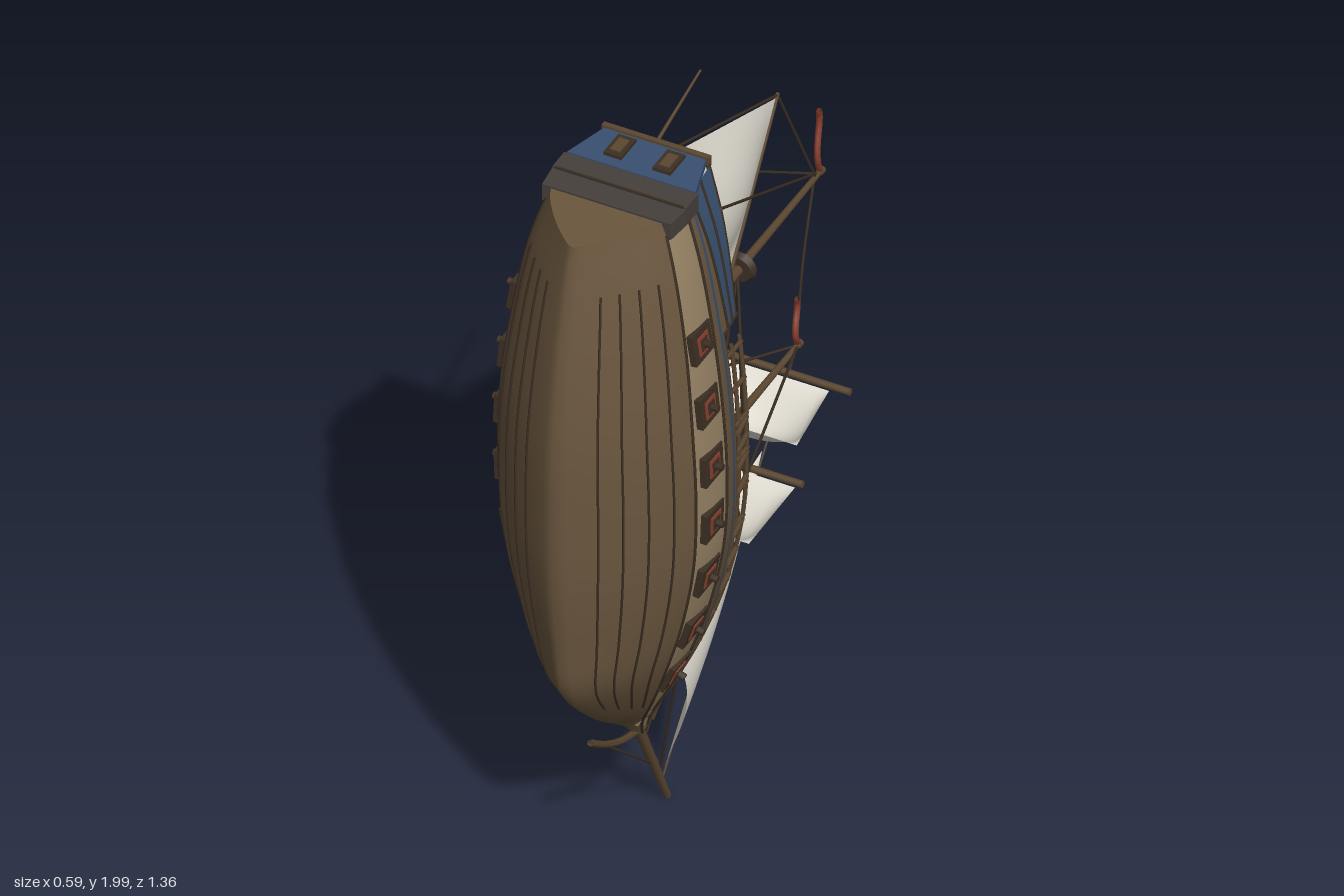
import * as THREE from 'three';

const mat = (name, color) => {
  const m = new THREE.MeshStandardMaterial({ color, side: THREE.DoubleSide });
  m.name = name;
  return m;
};
const M = {
  hull: mat('hull brown', 0x6a563e), tan: mat('plank tan', 0x968264), deck: mat('deck wood', 0x97805f),
  spar: mat('spar wood', 0x5b4731), dark: mat('dark wood', 0x3d3024), rope: mat('rope', 0x3f3226),
  blue: mat('blue paint', 0x385070), grey: mat('stern grey', 0x46403b),
  sail: mat('sailcloth', 0xe0dcd1), red: mat('red paint', 0x8c4030),
};
const V = (x, y, z) => new THREE.Vector3(x, y, z);

// hull stations, bow down: y | half width, sheer z, band z, keel z
const ys = [0.29, 0.37, 0.45, 0.55, 0.66, 0.8, 1.0, 1.2, 1.4, 1.6, 1.8, 1.93];
const stations = [
  0.008, 0.225, 0.24, 0.25, 0.035, 0.235, 0.29, 0.325, 0.078, 0.245, 0.34, 0.425, 0.128, 0.25, 0.385, 0.53,
  0.175, 0.26, 0.42, 0.62, 0.222, 0.268, 0.435, 0.65, 0.263, 0.272, 0.445, 0.675, 0.272, 0.275, 0.45, 0.68,
  0.262, 0.28, 0.45, 0.675, 0.237, 0.285, 0.435, 0.65, 0.198, 0.285, 0.42, 0.61, 0.155, 0.28, 0.4, 0.58];
const spline = new THREE.CubicInterpolant(ys, stations, 4);

// point on the hull: s 0..1 sheer to band, 1..2 band to keel
function hullPoint(y, s, side = 1, out = 0) {
  const [w, top, band, keel] = spline.evaluate(y);
  const d = Math.max(s - 1, 0), k = Math.min(s, 1);
  const x = s <= 1 ? w * (0.96 + 0.16 * k - 0.19 * k * k)
    : w * 0.93 * Math.pow(Math.max(1 - Math.pow(d, 1.3), 0), 0.85);
  const z = s <= 1 ? top + (band - top) * k : band + (keel - band) * d;
  return V(side * (x + out), y, z + (s > 1 ? out * 0.8 : 0));
}
const range = (a, b, n) => Array.from({ length: n + 1 }, (_, i) => a + (b - a) * i / n);

// surface through rows of points
function loft(rows) {
  const n = rows[0].length, idx = [];
  for (let i = 0; i < rows.length - 1; i++) for (let j = 0; j < n - 1; j++) {
    const a = i * n + j;
    idx.push(a, a + 1, a + n, a + 1, a + n + 1, a + n);
  }
  const g = new THREE.BufferGeometry().setFromPoints(rows.flat());
  g.setIndex(idx);
  g.computeVertexNormals();
  return g;
}

export function createModel() {
  const root = new THREE.Group();
  root.name = 'sailingShip';
  const add = (name, geo, m, parent = root) => {
    const mesh = new THREE.Mesh(geo, m);
    mesh.name = name;
    parent.add(mesh);
    return mesh;
  };
  const box = (name, m, size, pos, parent) =>
    add(name, new THREE.BoxGeometry(...size), m, parent).position.set(...pos);
  const rod = (name, m, a, b, r0, r1 = r0, n = 8) => {
    const c = add(name, new THREE.CylinderGeometry(r1, r0, a.distanceTo(b), n), m);
    c.position.copy(a).lerp(b, 0.5);
    c.quaternion.setFromUnitVectors(V(0, 1, 0), b.clone().sub(a).normalize());
  };
  const rope = (a, b) => rod('rigging', M.rope, a, b, 0.0036, 0.0036, 5);
  const tube = (name, m, pts, r, n = 32) =>
    add(name, new THREE.TubeGeometry(new THREE.CatmullRomCurve3(pts), n, r, 5), m);
  // solid with an x/z outline, its upper face at y
  const slab = (name, m, outline, y, depth) => {
    const s = new THREE.Shape(outline.map(p => new THREE.Vector2(...p)));
    const g = new THREE.ExtrudeGeometry(s, { depth, bevelEnabled: false }).rotateX(Math.PI / 2);
    add(name, g, m).position.y = y;
  };

  // lower hull, both sides in one skin
  const span = range(0.29, 1.93, 44), lower = [1, 1.15, 1.3, 1.5, 1.7, 1.85, 1.94, 2];
  add('lowerHull', loft(span.map(y => [
    ...lower.map(s => hullPoint(y, s)),
    ...lower.slice(0, -1).reverse().map(s => hullPoint(y, s, -1))])), M.hull);
  const edge = lower.map(s => hullPoint(1.93, s)).map(p => [p.x, p.z]);
  slab('sternPlate', M.hull, [...edge, ...edge.slice(0, -1).reverse().map(p => [-p[0], p[1]])], 1.931, 0.01);

  for (const side of [1, -1]) {
    // upper planking, paint stripe, wales and seams
    const band = (s0, s1, n, y0, y1, out) =>
      loft(range(y0, y1, 40).map(y => range(s0, s1, n).map(s => hullPoint(y, s, side, out))));
    const line = (name, m, s, y0, y1, r, out = 0) =>
      tube(name, m, range(y0, y1, 24).map(y => hullPoint(y, s, side, out)), r, 64);
    add('upperPlanking', band(0, 1, 6, 0.29, 1.93, 0), M.tan);
    add('upperStrake', band(0, 0.3, 3, 0.3, 1.92, 0.003), M.hull);
    add('paintStripe', band(0.06, 0.15, 1, 0.31, 1.9, 0.006), M.blue);
    line('capRail', M.spar, 0, 0.29, 1.56, 0.008);
    line('wale', M.dark, 0.32, 0.3, 1.92, 0.004, 0.002);
    line('lowerWale', M.dark, 1, 0.3, 1.9, 0.004);
    [1.22, 1.42, 1.6, 1.76].forEach((s, i) => line('plankSeam', M.dark, s, 0.5 + i * 0.02, 1.8, 0.003, 0.002));

    // stern bulwark, its blue panel widening aft
    const bulwark = (z, y, out = 0) => {
      const p = hullPoint(y, 0, side, out);
      return V(p.x * (1 - (0.29 - z) * 0.6), y, z);
    };
    const rim = y => 0.195 - 0.032 * (y - 1.55) / 0.38;
    const sill = y => 0.25 + 0.03 * (y - 1.55) / 0.38;
    const by = range(1.55, 1.93, 10);
    add('bulwarkBase', loft(by.map(y => [bulwark(0.29, y, 0.003), bulwark(sill(y), y, 0.003)])), M.hull);
    add('sternBulwark', loft(by.map(y => [bulwark(sill(y), y, 0.004), bulwark(rim(y), y, 0.004)])), M.blue);
    tube('sternRail', M.dark, by.map(y => bulwark(rim(y), y)), 0.006);
    tube('sternMoulding', M.dark, by.map(y => bulwark((rim(y) + sill(y)) / 2, y, 0.004)), 0.004);
    tube('sternSill', M.dark, by.map(y => bulwark(sill(y), y, 0.004)), 0.004);
    rod('bulwarkPost', M.dark, bulwark(0.285, 1.55), bulwark(0.19, 1.55), 0.007);

    // open rail along the waist
    const railAt = (y, z) => V(hullPoint(y, 0, side).x * 0.98, y, z);
    for (const z of [0.2, 0.24])
      tube('waistRail', M.spar, range(0.31, 1.5, 20).map(y => railAt(y, z)), 0.0055);
    for (const y of range(0.38, 1.48, 11))
      rod('railPost', M.spar, railAt(y, 0.28), railAt(y, 0.195), 0.006, 0.006, 5);

    // gun ports
    for (const y of [1.605, 1.435, 1.27, 1.105, 0.94, 0.77, 0.605]) {
      const a = hullPoint(y - 0.03, 0.68, side), b = hullPoint(y + 0.03, 0.68, side);
      const port = new THREE.Group();
      port.name = 'gunPort';
      port.position.copy(a).lerp(b, 0.5);
      port.rotation.z = -Math.atan2(b.x - a.x, b.y - a.y);
      root.add(port);
      box('portFrame', M.dark, [0.016, 0.08, 0.085], [0, 0, 0], port);
      box('portLining', M.red, [0.004, 0.047, 0.047], [side * 0.009, 0, 0], port);
      box('portOpening', M.dark, [0.004, 0.03, 0.03], [side * 0.011, 0, 0], port);
      const gun = add('cannon', new THREE.CylinderGeometry(0.009, 0.009, 0.03, 10), M.dark, port);
      gun.rotation.z = Math.PI / 2;
      gun.position.x = side * 0.015;
    }

    // shrouds with deadeyes, and backstays
    const shroud = (y, mastY, topZ) => {
      const p = railAt(y, 0.21);
      rope(p, V(0, mastY, topZ));
      rod('deadeye', M.spar, V(p.x, y, 0.2), V(p.x + side * 0.012, y, 0.27), 0.007, 0.007, 6);
    };
    [1.27, 1.22, 1.17, 1.1].forEach(y => shroud(y, 1.29, -0.25));
    [0.8, 0.88, 0.97].forEach(y => shroud(y, 0.865, -0.18));
    rope(railAt(1.83, 0.18), V(0, 1.3, -0.64));
    rope(railAt(1.09, 0.21), V(0, 0.865, -0.55));
    rope(hullPoint(0.5, 0, side), V(0, 0.12, 0.135));

    // stern windows
    box('windowFrame', M.dark, [0.046, 0.014, 0.075], [side * 0.063, 1.945, 0.215]);
    box('windowPane', M.spar, [0.026, 0.004, 0.048], [side * 0.063, 1.953, 0.215]);
  }

  // cutwater and bobstay
  tube('cutwater', M.spar, [V(0, 0.43, 0.485), V(0, 0.375, 0.41), V(0, 0.33, 0.33), V(0, 0.3, 0.24)], 0.009);
  rope(V(0, 0.43, 0.475), V(0, 0.13, 0.145));

  // decks
  const deck = (y0, y1, z) => loft(range(y0, y1, 24).map(y => {
    const x = hullPoint(y, 0).x - 0.002;
    return [V(-x, y, z), V(x, y, z)];
  }));
  add('mainDeck', deck(0.36, 1.6, 0.3), M.deck);
  add('quarterDeck', deck(1.6, 1.925, 0.25), M.deck);
  box('quarterBulkhead', M.deck, [0.45, 0.01, 0.055], [0, 1.6, 0.277]);
  for (const z of [0.25, 0.295]) box('bulkheadTrim', M.dark, [0.45, 0.018, 0.01], [0, 1.598, z]);
  for (const y of range(0.5, 1.5, 8))
    box('deckBeam', M.dark, [hullPoint(y, 0).x * 2 - 0.01, 0.005, 0.005], [0, y, 0.299]);
  for (const y of [1.7, 1.81])
    box('quarterDeckSeam', M.dark, [hullPoint(y, 0).x * 2 - 0.02, 0.005, 0.005], [0, y, 0.249]);
  box('foreHatch', M.dark, [0.07, 0.055, 0.025], [0, 0.73, 0.292]);
  box('hatchBase', M.dark, [0.09, 0.09, 0.012], [0, 1.22, 0.294]);
  for (const t of range(-0.04, 0.04, 3)) {
    box('grating', M.spar, [0.1, 0.008, 0.02], [0, 1.22 + t, 0.29]);
    box('grating', M.spar, [0.008, 0.1, 0.02], [t, 1.22, 0.29]);
  }
  box('capstan', M.spar, [0.08, 0.03, 0.04], [0, 1.55, 0.28]);

  // stern gallery
  slab('sternPanel', M.blue, [[-0.13, 0.16], [0.13, 0.16], [0.165, 0.28], [-0.165, 0.28]], 1.943, 0.02);
  slab('sternShelf', M.grey, [[-0.172, 0.28], [0.172, 0.28], [0.172, 0.34], [-0.172, 0.34]], 1.94, 0.05);
  slab('sternCounter', M.grey, [[-0.172, 0.34], [0.172, 0.34], [0.165, 0.405], [-0.165, 0.405]], 1.936, 0.046);
  box('shelfEdge', M.dark, [0.33, 0.006, 0.005], [0, 1.94, 0.34]);
  box('sternTopRail', M.spar, [0.275, 0.028, 0.014], [0, 1.935, 0.155]);
  rod('flagStaff', M.spar, V(0, 1.935, 0.18), V(0, 1.998, -0.065), 0.005, 0.003);

  // masts, fighting tops and pennants
  for (const [y, tip, top, wave] of [[1.29, -0.67, -0.26, 0.17], [0.865, -0.56, -0.19, 0.125]]) {
    rod('mast', M.spar, V(0, y, 0.31), V(0, y, top), 0.017, 0.013, 12);
    rod('topmast', M.spar, V(0, y, top), V(0, y, tip), 0.011, 0.007, 10);
    rod('fightingTop', M.dark, V(0, y, top + 0.008), V(0, y, top - 0.008), 0.033, 0.041, 16);
    rod('mastCollar', M.dark, V(0, y, 0.31), V(0, y, 0.275), 0.035, 0.028, 10);
    rod('mastCap', M.spar, V(0, y, tip + 0.008), V(0, y, tip - 0.004), 0.01, 0.01, 8);
    tube('pennant', M.red, range(0, 1, 8).map(t => V(0.004 * Math.sin(t * 6), y + 0.008 + wave * t,
      tip + 0.008 + 0.016 * Math.sin(t * 5.5) + 0.012 * t)), 0.008);
  }
  rod('bowsprit', M.spar, V(0, 0.4, 0.29), V(0, 0.012, 0.1), 0.015, 0.009, 10);

  // sails: four corners filled and bulged along a direction, with the given profile across
  const arch = u => Math.max(Math.sin(Math.PI * u), 0);
  const sail = (name, [a, b, c, d], push, profile = arch) => add(name, loft(range(0, 1, 20).map(v =>
    range(0, 1, 20).map(u => {
      const p = a.clone().lerp(b, u).lerp(d.clone().lerp(c, u), v);
      return p.addScaledVector(push, arch(Math.pow(v, 1.2)) * profile(u));
    }))), M.sail);
  for (const [z0, z1, w0, w1, yard, bulge] of [
    [-0.1, 0.14, 0.225, 0.23, 0.24, 0.095], [-0.455, -0.235, 0.13, 0.16, 0.18, 0.085]]) {
    rod('yard', M.spar, V(-yard, 0.852, z0 - 0.01), V(yard, 0.852, z0 - 0.01), 0.009);
    sail('squareSail', [V(-w0, 0.845, z0), V(w0, 0.845, z0), V(w1, 0.85, z1), V(-w1, 0.85, z1)],
      V(0, -bulge, 0), u => Math.sqrt(arch(u)));
  }
  sail('spanker', [V(0, 1.34, 0.145), V(0, 1.33, -0.22), V(0, 1.655, -0.445), V(0, 1.88, 0.145)], V(0.062, 0, 0));
  const peak = V(0, 0.683, -0.374);
  sail('jib', [V(0, 0.1, 0.114), peak, peak, V(0, 0.58, 0.178)], V(0.072, 0, -0.008),
    u => Math.cos(u * Math.PI / 2));
  rod('boom', M.spar, V(0, 1.3, 0.157), V(0, 1.9, 0.157), 0.009, 0.007);
  rod('gaff', M.spar, V(0, 1.3, -0.205), V(0, 1.665, -0.452), 0.007, 0.005);

  // standing rigging
  const gaffEnd = V(0, 1.66, -0.45), mainTip = V(0, 1.3, -0.635), foreTip = V(0, 0.865, -0.545);
  rope(gaffEnd, mainTip);
  rope(gaffEnd, V(0, 1.9, 0.16));
  rope(foreTip, V(0, 0.08, 0.125));
  rope(V(0, 0.86, -0.18), V(0, 0.33, 0.25));
  rope(V(0, 1.29, -0.25), V(0, 0.88, 0.2));
  tube('mastStay', M.rope, [mainTip, V(0, 1.08, -0.575), foreTip], 0.0036);
  tube('topStay', M.rope, [V(0, 1.29, -0.255), V(0, 1.08, -0.19), V(0, 0.865, -0.185)], 0.0036);
  return root;
}
